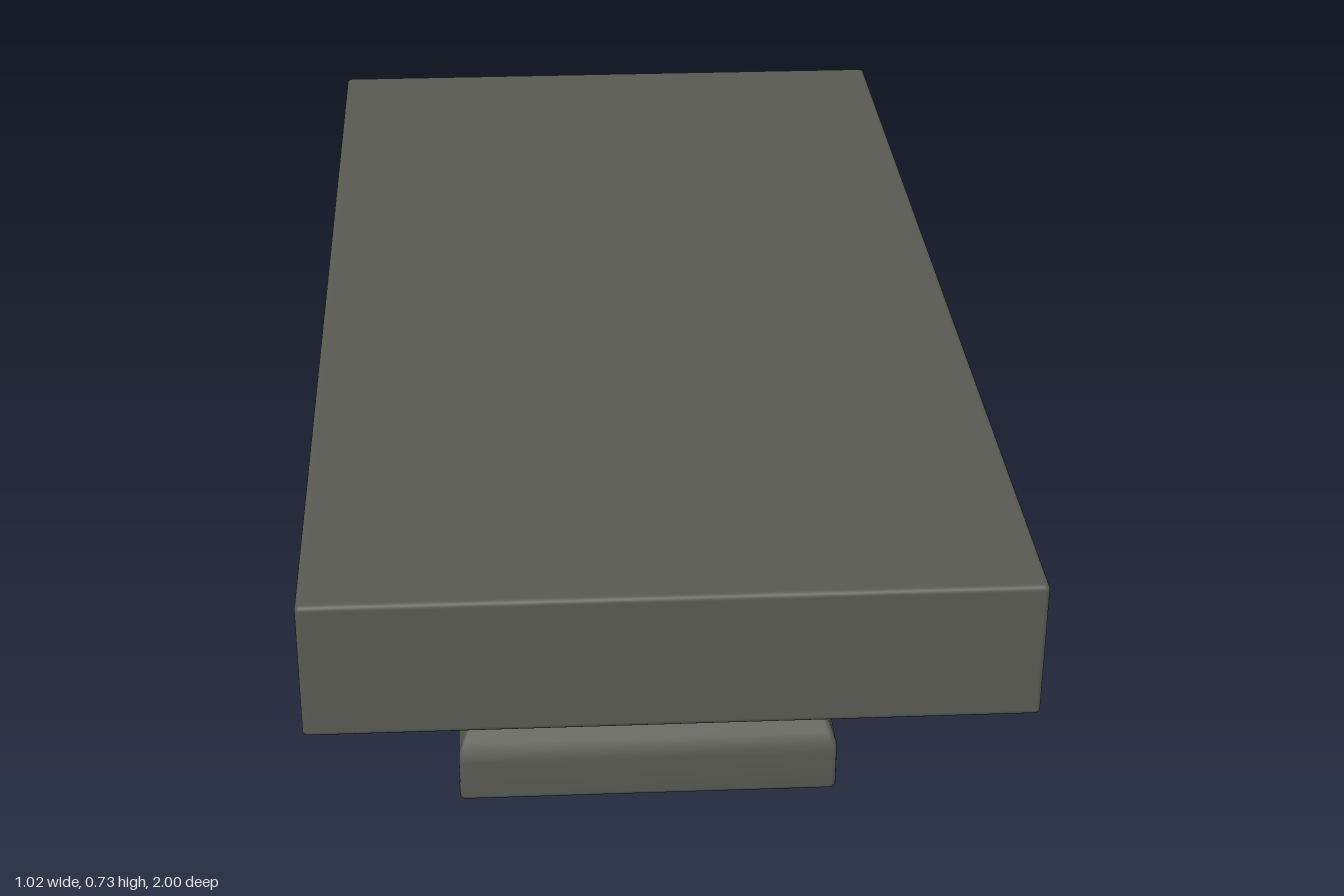
import * as THREE from 'three';
import { RoundedBoxGeometry } from 'three/addons/geometries/RoundedBoxGeometry.js';

// Rounded-rectangle outline, running from +x towards +z
function outline(hx, hz, r, steps = 3) {
  const pts = [];
  [[1, 1], [-1, 1], [-1, -1], [1, -1]].forEach(([sx, sz], q) => {
    for (let k = 0; k <= steps; k++) {
      const a = (q + k / steps) * Math.PI / 2;
      pts.push([sx * (hx - r) + r * Math.cos(a), sz * (hz - r) + r * Math.sin(a)]);
    }
  });
  return pts;
}

// Closed loft through a stack of outlines, each given as [half width, height]
function loft(profile, depthOf, radius) {
  const rings = profile.map(([hx]) => outline(hx, depthOf(hx), radius));
  const n = rings[0].length;
  const pos = [], index = [];
  rings.forEach((ring, i) => ring.forEach(([x, z]) => pos.push(x, profile[i][1], z)));
  for (let i = 0; i < rings.length - 1; i++) {
    for (let j = 0; j < n; j++) {
      const a = i * n + j, b = i * n + (j + 1) % n;
      index.push(a, a + n, b, b, a + n, b + n);
    }
  }
  // end caps
  const last = rings.length - 1, bottom = pos.length / 3, top = bottom + 1;
  pos.push(0, profile[0][1], 0, 0, profile[last][1], 0);
  for (let j = 0; j < n; j++) {
    const k = (j + 1) % n;
    index.push(bottom, j, k, top, last * n + k, last * n + j);
  }
  const geo = new THREE.BufferGeometry();
  geo.setAttribute('position', new THREE.Float32BufferAttribute(pos, 3));
  geo.setIndex(index);
  geo.computeVertexNormals();
  return geo;
}

export function createModel() {
  const model = new THREE.Group();
  model.name = 'pedestalTable';
  const stone = new THREE.MeshStandardMaterial({ color: 0x5a5a54 });
  stone.name = 'dark grey stone';

  // Thick slab top with lightly softened edges
  const slab = new THREE.Mesh(new RoundedBoxGeometry(1.02, 0.208, 2, 3, 0.008), stone);
  slab.name = 'tableTop';
  slab.position.y = 0.621;
  model.add(slab);

  // Pinched pedestal: lower half of the profile, mirrored about the waist
  const waist = 0.26;
  const half = [
    [0.3, 0], [0.307, 0.003], [0.31, 0.01], [0.31, 0.075], [0.309, 0.09],
    [0.303, 0.108], [0.25, 0.24], [0.246, 0.25],
  ];
  const profile = [
    ...half, [0.245, waist],
    ...half.map(([w, y]) => [w, 2 * waist - y]).reverse(),
  ];
  const depthOf = (hx) => 0.34 + (hx - 0.245) * (0.095 / 0.065);
  const pedestal = new THREE.Mesh(loft(profile, depthOf, 0.008), stone);
  pedestal.name = 'pedestal';
  model.add(pedestal);

  return model;
}
